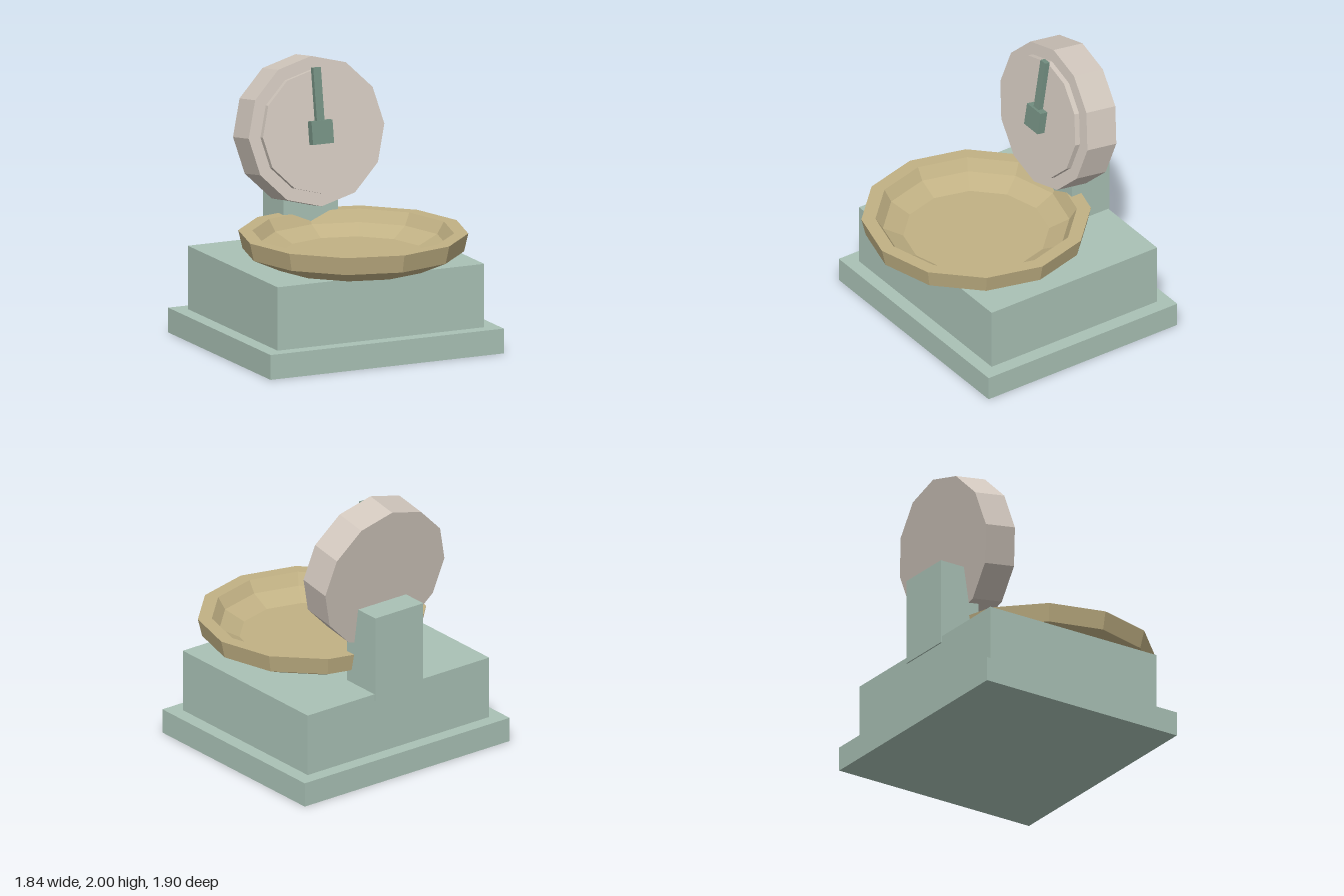
import * as THREE from 'three';

const mint = new THREE.MeshStandardMaterial({ color: 0xa9c1b5 });
mint.name = 'mint enamel';
const brass = new THREE.MeshStandardMaterial({ color: 0xc1b184 });
brass.name = 'brass';
const ivory = new THREE.MeshStandardMaterial({ color: 0xd2c8be });
ivory.name = 'ivory';
const darkGreen = new THREE.MeshStandardMaterial({ color: 0x749082 });
darkGreen.name = 'dark green';

// Faceted mesh: every face gets its own normal
function part(name, geometry, material) {
  const flat = geometry.index ? geometry.toNonIndexed() : geometry;
  flat.computeVertexNormals();
  const mesh = new THREE.Mesh(flat, material);
  mesh.name = name;
  return mesh;
}

// Box given by its minimum and maximum corners
function box(name, [x0, y0, z0], [x1, y1, z1], material) {
  const g = new THREE.BoxGeometry(x1 - x0, y1 - y0, z1 - z0);
  g.translate((x0 + x1) / 2, (y0 + y1) / 2, (z0 + z1) / 2);
  return part(name, g, material);
}

// Twelve-sided disc facing +z, from z0 to z1
function disc(name, radius, z0, z1, material) {
  const g = new THREE.CylinderGeometry(radius, radius, z1 - z0, 12);
  g.rotateX(Math.PI / 2).translate(0, 0, (z0 + z1) / 2);
  return part(name, g, material);
}

export function createModel() {
  const model = new THREE.Group();
  model.name = 'kitchenScale';

  // Stepped body and the post behind the pan
  model.add(
    box('basePlinth', [-0.92, 0, -0.955], [0.92, 0.18, 0.675], mint),
    box('body', [-0.815, 0.18, -0.855], [0.815, 0.64, 0.575], mint),
    box('post', [-0.215, 0.59, -0.865], [0.215, 1.23, -0.54], mint)
  );

  // Weighing pan: outside, rim, then down the inside to the floor
  const profile = [
    [0, 0.64], [0.575, 0.64], [0.785, 0.735], [0.815, 0.865],
    [0.715, 0.865], [0.662, 0.78], [0.518, 0.71], [0, 0.71]
  ].map(([r, y]) => new THREE.Vector2(r, y));
  const pan = part('pan', new THREE.LatheGeometry(profile, 12), brass);
  pan.position.z = 0.135;
  model.add(pan);

  // Dial head, leaning back, with raised face and pointer
  const dial = new THREE.Group();
  dial.name = 'dial';
  dial.position.set(0, 1.4725, -0.45);
  dial.rotation.x = -0.157;
  dial.add(
    disc('dialCasing', 0.535, -0.253, 0, ivory),
    disc('dialFace', 0.443, -0.02, 0.041, ivory),
    box('pointerHub', [-0.083, -0.086, 0.03], [0.083, 0.08, 0.101], darkGreen),
    box('pointer', [-0.03, 0, 0.042], [0.03, 0.457, 0.081], darkGreen)
  );
  model.add(dial);

  return model;
}
